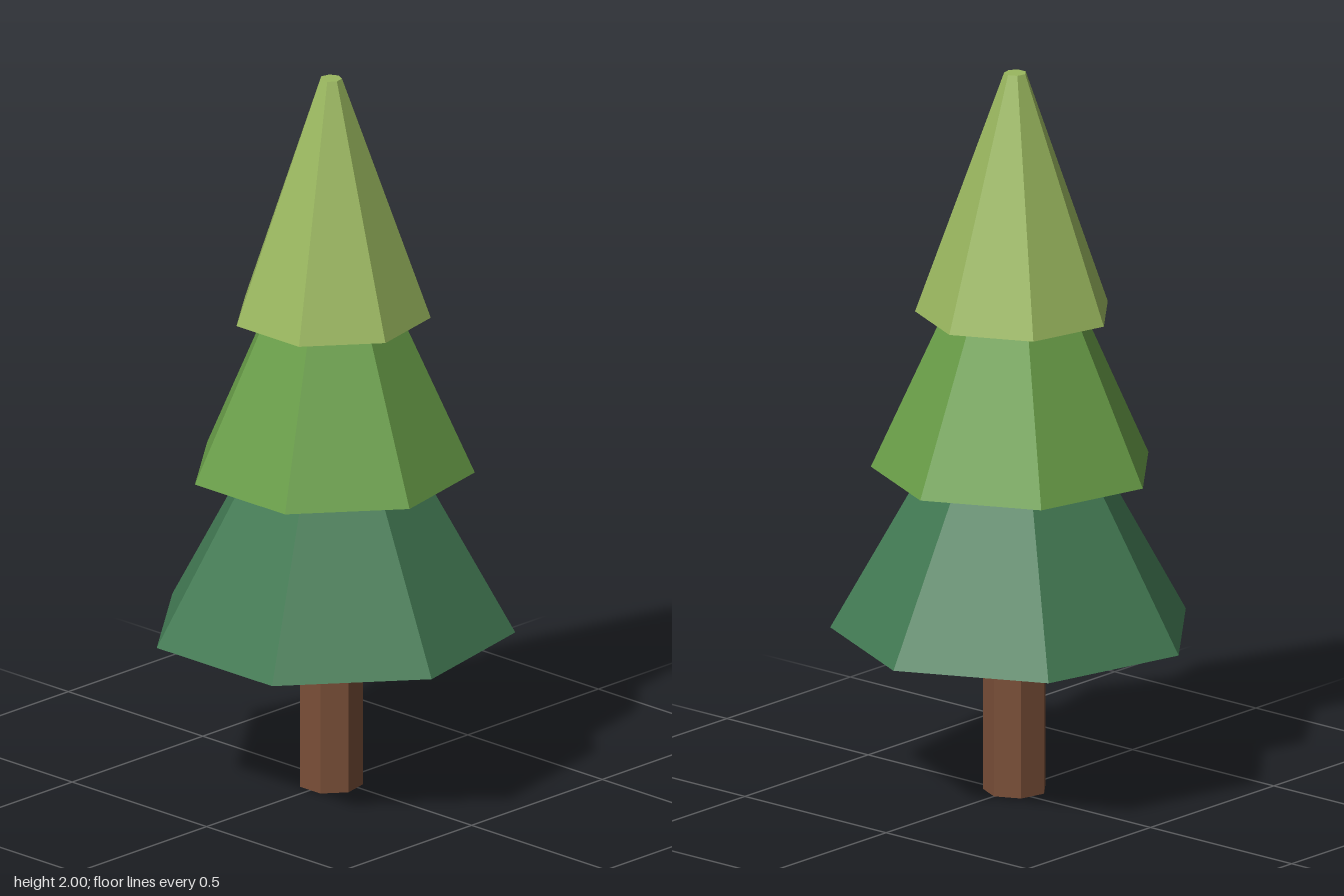
import * as THREE from 'three';

const SIDES = 7;
const CENTRE_Z = 0.0245; // centres the seven-sided outline between its back corner and front edge

function material(name, color) {
  const m = new THREE.MeshStandardMaterial({ color, flatShading: true });
  m.name = name;
  return m;
}

// Seven-sided tapered solid with a corner at the back and a flat side at the front
function taperedSolid(name, bottomY, topY, bottomRadius, topRadius, mat) {
  const height = topY - bottomY;
  const geometry = new THREE.CylinderGeometry(topRadius, bottomRadius, height, SIDES, 1, false, Math.PI);
  const mesh = new THREE.Mesh(geometry, mat);
  mesh.name = name;
  mesh.position.set(0, bottomY + height / 2, CENTRE_Z);
  return mesh;
}

export function createModel() {
  const tree = new THREE.Group();
  tree.name = 'pineTree';

  const parts = [
    // name, bottom y, top y, bottom radius, top radius, material
    ['trunk', 0, 0.445, 0.087, 0.087, material('barkBrown', 0x7a4f38)],
    ['lowerFoliage', 0.445, 0.895, 0.4945, 0.244, material('darkGreen', 0x437b54)],
    ['middleFoliage', 0.895, 1.33, 0.386, 0.19, material('midGreen', 0x6a9f49)],
    ['upperFoliage', 1.33, 2, 0.268, 0.03, material('lightGreen', 0x9ab75f)],
  ];
  for (const part of parts) tree.add(taperedSolid(...part));

  return tree;
}
